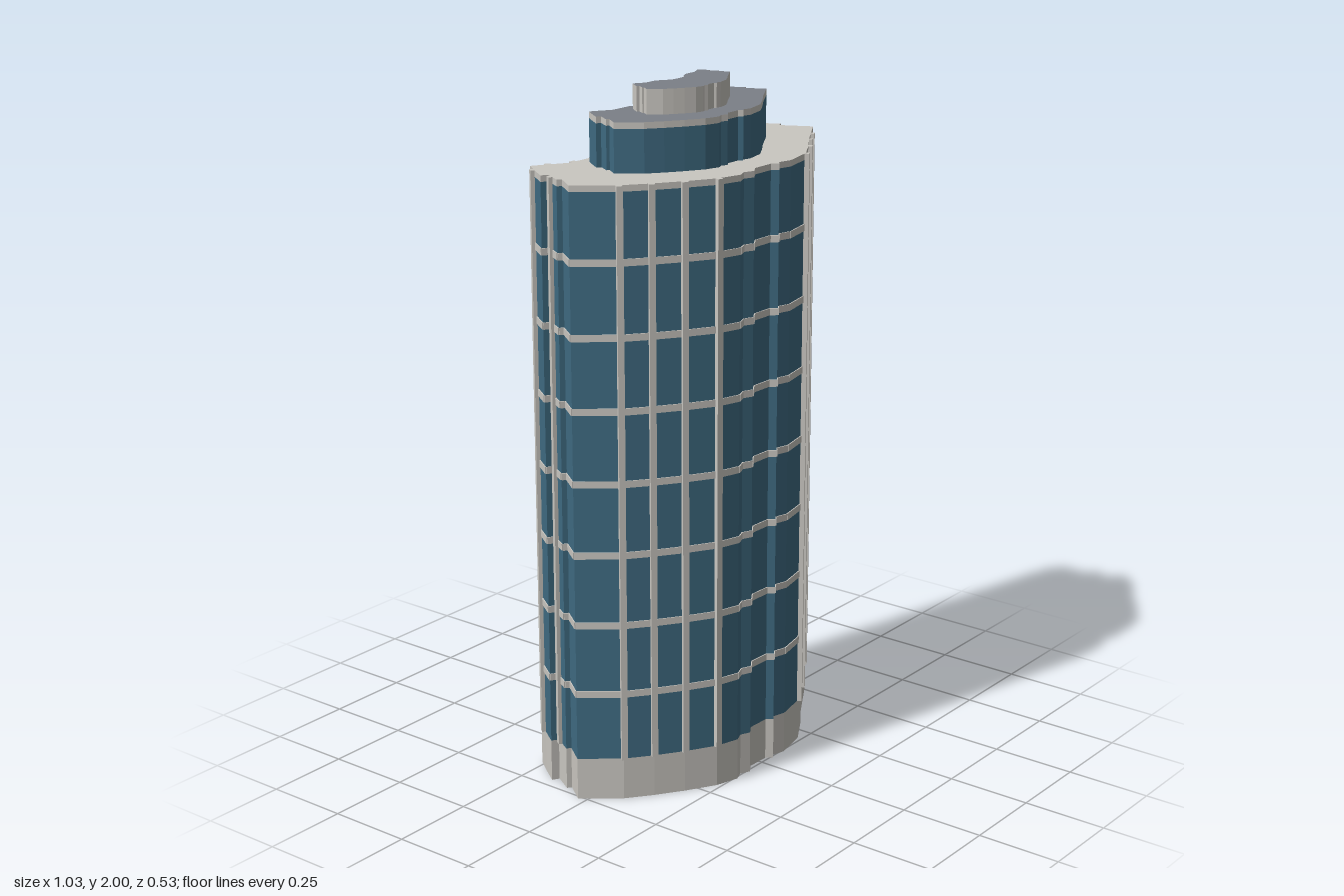
import * as THREE from 'three';

// Crescent floor plan as [x, z], clockwise seen from above
const PLAN = [
  // left end, stepped
  [-0.512, -0.025], [-0.468, -0.085], [-0.48, -0.094], [-0.447, -0.15], [-0.467, -0.162], [-0.43, -0.215], [-0.395, -0.262],
  // concave back
  [-0.35, -0.235], [-0.3, -0.203], [-0.195, -0.198], [-0.13, -0.168], [-0.07, -0.118], [0, -0.114], [0.09, -0.114],
  [0.135, -0.153], [0.21, -0.188], [0.32, -0.184], [0.42, -0.23],
  // right end, stepped
  [0.45, -0.18], [0.463, -0.132], [0.448, -0.125], [0.487, -0.058], [0.467, -0.05], [0.512, 0.04],
  // convex front with small entrance pleats
  [0.43, 0.09], [0.36, 0.133], [0.285, 0.185], [0.2, 0.236], [0.1, 0.257], [0.06, 0.246], [0.045, 0.258],
  [0.03, 0.24], [-0.04, 0.238], [-0.07, 0.258], [-0.1, 0.245], [-0.13, 0.257], [-0.2, 0.236],
  [-0.285, 0.185], [-0.36, 0.133], [-0.43, 0.078],
];

// Where the vertical fins stand around the facade
const FINS = [
  [-0.43, 0.08], [-0.36, 0.133], [-0.285, 0.186], [-0.2, 0.236],
  [0.2, 0.236], [0.285, 0.186], [0.36, 0.133], [0.43, 0.09],
  [-0.35, -0.235], [-0.28, -0.202], [-0.2, -0.198], [-0.12, -0.16], [-0.035, -0.116],
  [0.05, -0.114], [0.13, -0.149], [0.215, -0.188], [0.3, -0.185], [0.355, -0.2],
  [-0.425, -0.222], [-0.458, -0.131], [0.445, -0.188],
];

const BASE_TOP = 0.125, TOWER_TOP = 1.79, TIER_TOP = 1.93;

export function createModel() {
  const model = new THREE.Group();
  model.name = 'tower';
  const mat = (name, color) => Object.assign(new THREE.MeshStandardMaterial({ color }), { name });
  const glass = mat('blue glass', 0x3f6b82);
  const concrete = mat('pale concrete', 0xcac7c1);
  const roof = mat('grey roof', 0x7c8087);

  const add = (parent, name, geometry, material) => {
    const mesh = new THREE.Mesh(geometry, material);
    mesh.name = name;
    parent.add(mesh);
    return mesh;
  };

  // Slab of the floor plan between two heights
  const slab = (name, y0, y1, material, plan = PLAN) => {
    const shape = new THREE.Shape(plan.map(([x, z]) => new THREE.Vector2(x, -z)));
    const geo = new THREE.ExtrudeGeometry(shape, { depth: y1 - y0, bevelEnabled: false });
    geo.rotateX(-Math.PI / 2).translate(0, y0, 0);
    return add(model, name, geo, material);
  };
  const shrink = (s, dx, dz) => PLAN.map(([x, z]) => [x * s + dx, z * s + dz]);

  // Stacked volumes
  slab('base', 0, BASE_TOP, concrete);
  slab('glassTower', BASE_TOP, TOWER_TOP - 0.018, glass);
  slab('towerRoof', TOWER_TOP - 0.018, TOWER_TOP, concrete);
  const tier = shrink(0.62, -0.012, -0.004);
  slab('upperTier', TOWER_TOP, TIER_TOP - 0.018, glass, tier);
  slab('upperTierRoof', TIER_TOP - 0.018, TIER_TOP, [roof, concrete], tier);
  slab('crown', TIER_TOP, 2, [roof, concrete], shrink(0.338, -0.021, -0.007));

  // Wall segments with their direction
  const walls = PLAN.map(([x, z], i) => {
    const [x2, z2] = PLAN[(i + 1) % PLAN.length];
    const a = new THREE.Vector2(x, z), b = new THREE.Vector2(x2, z2);
    return { a, b, mid: a.clone().add(b).multiplyScalar(0.5), length: a.distanceTo(b), turn: -Math.atan2(z2 - z, x2 - x) };
  });

  // Floor bands wrapped around the glass
  const bands = new THREE.Group();
  bands.name = 'floorBands';
  model.add(bands);
  for (const { mid, length, turn } of walls) {
    const geo = new THREE.BoxGeometry(length, 0.02, 0.006);
    for (let i = 0; i < 7; i++) {
      const band = add(bands, 'floorBand', geo, concrete);
      band.position.set(mid.x, 0.325 + i * 0.209, mid.y);
      band.rotation.y = turn;
    }
  }

  // Vertical fins, each turned to its nearest wall
  const fins = new THREE.Group();
  fins.name = 'verticalFins';
  model.add(fins);
  const finGeo = new THREE.BoxGeometry(0.018, TOWER_TOP - BASE_TOP, 0.022);
  for (const [x, z] of FINS) {
    const p = new THREE.Vector2(x, z);
    const gap = ({ a, b }) => a.distanceTo(p) + b.distanceTo(p) - a.distanceTo(b);
    const wall = walls.reduce((best, w) => (gap(w) < gap(best) ? w : best));
    const fin = add(fins, 'verticalFin', finGeo, concrete);
    fin.position.set(x, (BASE_TOP + TOWER_TOP) / 2, z);
    fin.rotation.y = wall.turn;
  }
  return model;
}
